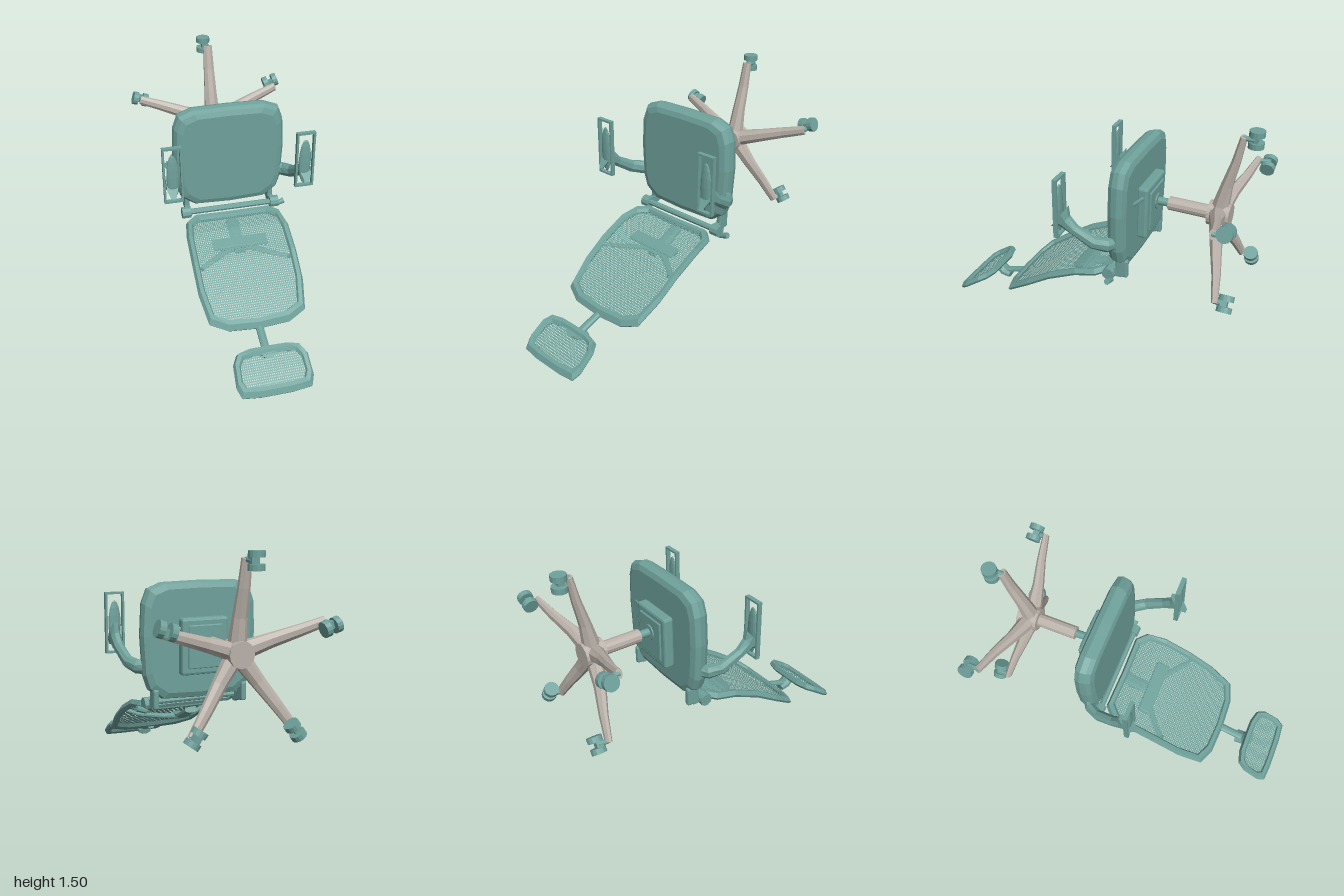
import * as THREE from 'three';
import { RoundedBoxGeometry } from 'three/addons/geometries/RoundedBoxGeometry.js';

const teal = new THREE.MeshStandardMaterial({ color: 0x6fa19b, flatShading: true });
const net = new THREE.MeshStandardMaterial({ color: 0x6fa19b, side: THREE.DoubleSide });
const grey = new THREE.MeshStandardMaterial({ color: 0xbab2aa, flatShading: true });
const V = (x, y, z) => new THREE.Vector3(x, y, z);

function add(parent, name, geo, mat = teal, pos = [0, 0, 0], rot = [0, 0, 0]) {
  const m = new THREE.Mesh(geo, mat);
  m.name = name;
  m.position.set(...pos);
  m.rotation.set(...rot);
  parent.add(m);
  return m;
}

function meshFrom(points, index) {
  const g = new THREE.BufferGeometry().setFromPoints(points);
  g.setIndex(index);
  g.computeVertexNormals();
  return g;
}

// Skin a list of equal rings; capped at both ends, or joined end to start.
function skin(rings, joined = false) {
  const n = rings[0].length, pts = rings.flat(), idx = [];
  const last = joined ? rings.length : rings.length - 1;
  for (let i = 0; i < last; i++) for (let j = 0; j < n; j++) {
    const k = (i + 1) % rings.length, l = (j + 1) % n;
    const a = i * n + j, b = i * n + l, c = k * n + l, d = k * n + j;
    idx.push(a, b, c, a, c, d);
  }
  if (!joined) [0, rings.length - 1].forEach((r, e) => {
    const c = V(0, 0, 0);
    rings[r].forEach(p => c.addScaledVector(p, 1 / n));
    pts.push(c);
    for (let j = 0; j < n; j++) {
      const a = r * n + j, b = r * n + (j + 1) % n;
      if (e) idx.push(a, b, pts.length - 1); else idx.push(b, a, pts.length - 1);
    }
  });
  // Turn every face outward
  let vol = 0;
  for (let i = 0; i < idx.length; i += 3) {
    vol += pts[idx[i]].dot(V(0, 0, 0).crossVectors(pts[idx[i + 1]], pts[idx[i + 2]]));
  }
  if (vol < 0) idx.reverse();
  return meshFrom(pts, idx);
}

// Tapered bar along a path of [x, y, z, half width along side, half depth]
function bar(path, side = V(1, 0, 0), sides = 8) {
  return skin(path.map(([x, y, z, a, b], i) => {
    const p = path[Math.max(0, i - 1)], q = path[Math.min(path.length - 1, i + 1)];
    const t = V(q[0] - p[0], q[1] - p[1], q[2] - p[2]).normalize();
    const w = side.clone().addScaledVector(t, -side.dot(t)).normalize();
    const n = V(0, 0, 0).crossVectors(t, w);
    return Array.from({ length: sides }, (_, j) => {
      const f = (j + 0.5) / sides * Math.PI * 2;
      return V(x, y, z).addScaledVector(w, a * Math.cos(f)).addScaledVector(n, b * Math.sin(f));
    });
  }));
}

// Complete a half outline (running from x = 0 to x = 0) with its mirror image
const mirror = half => [...half, ...half.slice(1, -1).reverse().map(([x, v]) => [-x, v])];

// Height of a bent sheet at z
function height(profile, z) {
  let i = 1;
  while (i < profile.length - 1 && z > profile[i][0]) i++;
  const [a, b] = [profile[i - 1], profile[i]];
  return a[1] + (b[1] - a[1]) * (z - a[0]) / (b[0] - a[0]);
}

// Range of a convex outline where coordinate `axis` equals v
function span(poly, axis, v) {
  const hits = [];
  poly.forEach((p, i) => {
    const q = poly[(i + 1) % poly.length], d = q[axis] - p[axis];
    if ((p[axis] - v) * (q[axis] - v) <= 0 && Math.abs(d) > 1e-6) {
      hits.push(p[1 - axis] + (q[1 - axis] - p[1 - axis]) * (v - p[axis]) / d);
    }
  });
  return [Math.min(...hits), Math.max(...hits)];
}

// Bent padded frame with a woven net stretched inside it
function netPanel(parent, name, half, profile, inset, thick) {
  const g = new THREE.Group();
  g.name = name;
  parent.add(g);
  const outline = mirror(half);
  const zs = outline.map(p => p[1]), z0 = Math.min(...zs), z1 = Math.max(...zs), zc = (z0 + z1) / 2;
  const hx = Math.max(...outline.map(p => p[0]));
  const kx = 1 - inset / hx, kz = 1 - inset / (z1 - zc);
  const section = [[0, -0.2], [0.3, 1], [0.8, 0.8], [1, 0], [0.8, -0.9], [0.2, -1]];
  add(g, name + 'Frame', skin(outline.map(([x, z]) => section.map(([s, h]) => {
    const pz = zc + (z - zc) * (1 - s + s * kz);
    return V(x * (1 - s + s * kx), height(profile, pz) + h * thick, pz);
  })), true));

  const inner = outline.map(([x, z]) => [x * (kx + 0.02), zc + (z - zc) * (kz + 0.02)]);
  const pts = [], idx = [], step = 0.0125, w = 0.0033;
  const strand = (axis, v, segs) => {
    const [a, b] = span(inner, axis, v);
    for (let i = 0; i <= segs; i++) for (const o of [-w, w]) {
      const u = a + (b - a) * i / segs;
      const [x, z] = axis ? [u, v + o] : [v + o, u];
      const k = pts.push(V(x, height(profile, z), z));
      if (i < segs) idx.push(...(o < 0 ? [k - 1, k, k + 1] : [k - 1, k + 1, k]));
    }
  };
  const ix = hx * (kx + 0.02) - 0.006, iz = (z1 - zc) * (kz + 0.02) - 0.006;
  for (let x = -ix; x <= ix; x += step) strand(0, x, 14);
  for (let z = zc - iz; z <= zc + iz; z += step) strand(1, z, 1);
  add(g, name + 'Net', meshFrom(pts, idx), net);
}

export function createModel() {
  const chair = new THREE.Group();
  chair.name = 'tippedOfficeChair';
  const cy = 0.962;

  // Seat cushion
  const seat = mirror([[0, 1.315], [0.24, 1.31], [0.33, 1.275], [0.362, 1.19], [0.372, 1.0],
    [0.358, 0.76], [0.33, 0.675], [0.24, 0.61], [0, 0.6]]);
  const layers = [[-0.332, 0.88], [-0.318, 0.97], [-0.285, 1], [-0.25, 0.985], [-0.224, 0.94], [-0.212, 0.85]];
  add(chair, 'seatCushion', skin(layers.map(([z, s]) => seat.map(([x, y]) => V(x * s, cy + (y - cy) * s, z)))));

  // Tilt mechanism, lever and gas column
  add(chair, 'tiltMechanism', new RoundedBoxGeometry(0.3, 0.34, 0.07, 1, 0.015), teal, [0, 0.932, -0.358]);
  add(chair, 'tiltPlate', new RoundedBoxGeometry(0.22, 0.26, 0.02, 1, 0.006), teal, [0, 0.932, -0.393]);
  add(chair, 'heightLever', bar([[0.14, 1.04, -0.365, 0.008, 0.012], [0.25, 1.04, -0.342, 0.006, 0.014]], V(0, 0, 1)));
  const column = (name, r, za, zb, mat, n = 12) => add(chair, name,
    new THREE.CylinderGeometry(r, r, za - zb, n), mat, [0, cy, (za + zb) / 2], [Math.PI / 2, 0, 0]);
  column('columnFlange', 0.05, -0.38, -0.412, teal);
  column('gasPiston', 0.025, -0.4, -0.5, teal);
  column('columnTube', 0.042, -0.48, -0.76, grey);
  column('baseHub', 0.075, -0.73, -0.86, grey, 16);

  // Five-legged base with twin-wheel casters
  for (let i = 0; i < 5; i++) {
    const leg = new THREE.Group();
    leg.name = 'baseLeg' + (i + 1);
    leg.position.y = cy;
    leg.rotation.z = i * Math.PI * 2 / 5;
    chair.add(leg);
    add(leg, 'legArm', bar([[0, 0.03, -0.79, 0.055, 0.055], [0, 0.2, -0.82, 0.044, 0.036],
      [0, 0.36, -0.86, 0.037, 0.027], [0, 0.515, -0.888, 0.031, 0.02]]), grey);
    add(leg, 'casterStem', new THREE.CylinderGeometry(0.016, 0.016, 0.07, 8), teal, [0, 0.505, -0.915], [Math.PI / 2, 0, 0]);
    add(leg, 'casterBody', new THREE.BoxGeometry(0.045, 0.035, 0.04), teal, [-0.01, 0.505, -0.945]);
    for (const r of [0.47, 0.538]) {
      add(leg, 'casterWheel', new THREE.CylinderGeometry(0.046, 0.046, 0.034, 14), teal, [-0.02, r, -0.954]);
    }
  }

  // Armrests and back hinges on both sides
  for (const s of [-1, 1]) {
    const side = s > 0 ? 'left' : 'right';
    const arm = new THREE.Group();
    arm.name = side + 'Armrest';
    chair.add(arm);
    add(arm, 'armSupport', bar([[s * 0.33, 0.81, -0.27, 0.03, 0.045], [s * 0.375, 0.81, -0.235, 0.035, 0.045],
      [s * 0.41, 0.83, -0.165, 0.034, 0.042], [s * 0.427, 0.9, -0.05, 0.032, 0.036],
      [s * 0.428, 0.945, 0.01, 0.034, 0.05], [s * 0.428, 0.97, 0.045, 0.036, 0.1]]));
    add(arm, 'armPad', new THREE.SphereGeometry(1, 12, 8), teal, [s * 0.42, 1.02, 0.05]).scale.set(0.04, 0.155, 0.016);
    for (const e of [-1, 1]) {
      add(arm, 'padFrameSide', new THREE.BoxGeometry(0.013, 0.38, 0.028), teal, [s * 0.42 + e * 0.054, 1.036, 0.05]);
      add(arm, 'padFrameEnd', new THREE.BoxGeometry(0.12, 0.013, 0.028), teal, [s * 0.42, 1.036 + e * 0.184, 0.05]);
    }
    add(chair, side + 'HingeBracket', new RoundedBoxGeometry(0.035, 0.12, 0.08, 1, 0.01), teal, [s * 0.29, 0.618, -0.298]);
    add(chair, side + 'HingeLink', new THREE.BoxGeometry(0.035, 0.05, 0.09), teal, [s * 0.29, 0.58, -0.255]);
    add(chair, side + 'HingeKnuckle', new THREE.CylinderGeometry(0.04, 0.04, 0.06, 10), teal, [s * 0.305, 0.572, -0.222], [0, 0, Math.PI / 2]);
    // Lumbar strut
    add(chair, side + 'LumbarStrut', bar([[0, 0.405, 0.0, 0.018, 0.03], [s * 0.1, 0.4, 0.05, 0.016, 0.024],
      [s * 0.23, 0.4, 0.15, 0.014, 0.02], [s * 0.3, 0.42, 0.22, 0.012, 0.02]], V(0, 1, 0)));
  }
  add(chair, 'hingeBar', new THREE.CylinderGeometry(0.02, 0.02, 0.6, 8), teal, [0, 0.578, -0.215], [0, 0, Math.PI / 2]);
  add(chair, 'reclineLever', bar([[0.32, 0.53, -0.24, 0.016, 0.016], [0.385, 0.555, -0.24, 0.02, 0.02]], V(0, 0, 1)));

  // Backrest
  netPanel(chair, 'backrest',
    [[0, -0.185], [0.26, -0.19], [0.325, -0.13], [0.345, 0.0], [0.347, 0.19], [0.343, 0.36],
      [0.31, 0.52], [0.2, 0.565], [0, 0.575]],
    [[-0.19, 0.55], [-0.02, 0.535], [0.19, 0.44], [0.38, 0.32], [0.52, 0.225], [0.575, 0.18]], 0.047, 0.024);
  add(chair, 'lumbarPad', new RoundedBoxGeometry(0.37, 0.03, 0.09, 1, 0.012), teal, [0, 0.462, 0.045], [0.3, 0, 0]);
  add(chair, 'backSpine', bar([[0, 0.49, -0.18, 0.045, 0.02], [0, 0.42, -0.04, 0.045, 0.022], [0, 0.4, 0.07, 0.04, 0.02]]));

  // Headrest on its hinged stalk
  netPanel(chair, 'headrest',
    [[0, 0.74], [0.12, 0.742], [0.2, 0.765], [0.232, 0.82], [0.238, 0.93], [0.215, 0.98], [0.1, 0.99], [0, 0.99]],
    [[0.74, 0.175], [0.79, 0.168], [0.88, 0.11], [0.99, 0.032]], 0.045, 0.024);
  add(chair, 'headrestStalk', bar([[0, 0.18, 0.55, 0.026, 0.018], [0, 0.125, 0.72, 0.026, 0.018]]));
  add(chair, 'headrestJoint', bar([[0, 0.105, 0.685, 0.048, 0.025], [0, 0.115, 0.74, 0.048, 0.03], [0, 0.165, 0.79, 0.045, 0.025]]));
  return chair;
}
